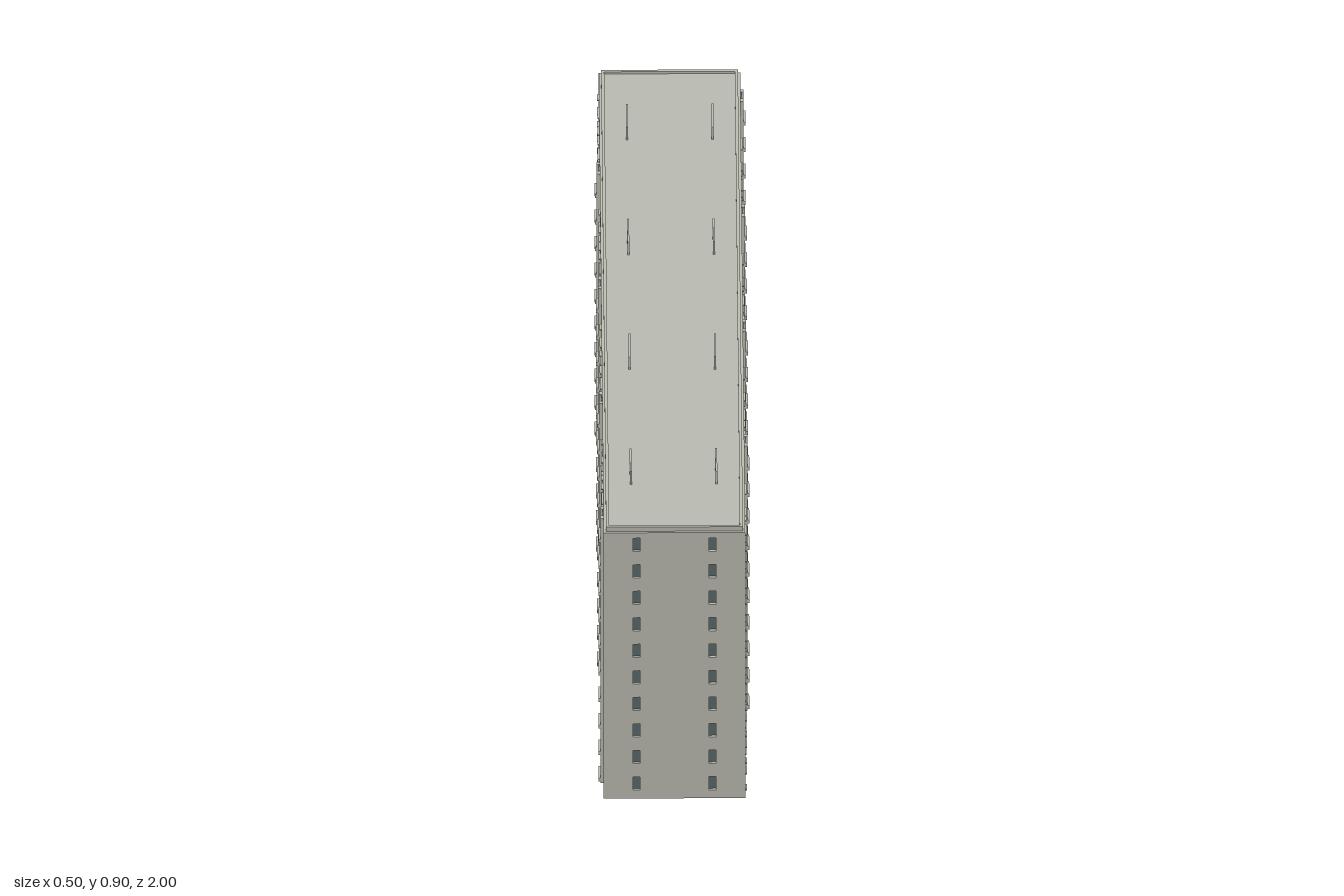
import * as THREE from 'three';
import { mergeGeometries } from 'three/addons/utils/BufferGeometryUtils.js';

const mat = (name, color) => {
  const m = new THREE.MeshStandardMaterial({ color });
  m.name = name;
  return m;
};

const HALF_W = 0.182, HALF_L = 0.99, WALL_H = 0.852, PANEL = 0.01;
const FLOORS = 10, FLOOR_H = 0.085, SECTION = 0.4945;

export function createModel() {
  const concrete = mat('concrete', 0xbdbeb3);
  const roofing = mat('roofing', 0xb9bab1);
  const glass = mat('blue glass', 0x718c96);
  const darkGlass = mat('dark glass', 0x5c696b);
  const frame = mat('window frame', 0x56666b);

  const box = (w, h, d, x, y, z) => new THREE.BoxGeometry(w, h, d).translate(x, y, z);
  const mesh = (parent, name, geometry, material) => {
    const m = new THREE.Mesh(geometry, material);
    m.name = name;
    parent.add(m);
    return m;
  };

  // Wall panel facing +z with window openings cut through; u runs left to right
  function wallPanel(width, windows) {
    const shape = new THREE.Shape();
    const hw = width / 2;
    shape.moveTo(-hw, 0).lineTo(hw, 0).lineTo(hw, WALL_H).lineTo(-hw, WALL_H).closePath();
    for (const { u, y, w, h } of windows) {
      const hole = new THREE.Path();
      hole.moveTo(u - w / 2, y - h / 2).lineTo(u - w / 2, y + h / 2)
        .lineTo(u + w / 2, y + h / 2).lineTo(u + w / 2, y - h / 2).closePath();
      shape.holes.push(hole);
    }
    return new THREE.ExtrudeGeometry(shape, { depth: PANEL, bevelEnabled: false });
  }

  const panes = (windows) => mergeGeometries(windows.map(({ u, y, w, h }) =>
    new THREE.PlaneGeometry(w, h).translate(u, y, 0.003)));

  // Long side: four sections of windows, each ending in a glazed stair strip
  function longSide() {
    const g = new THREE.Group();
    const windows = [], sills = [], mullions = [], strips = [], slabs = [], stairGlass = [];
    for (let s = 0; s < 4; s++) {
      const start = -0.972 + s * SECTION;
      const paired = s % 2 === 1;
      // offset along the section, width, height
      const columns = [[0, 0.02, 0.048], [0.06, 0.016, 0.038], [0.083, 0.022, 0.038]];
      if (paired) {
        columns.push([0.143, 0.012, 0.038], [0.161, 0.015, 0.038],
          [0.238, 0.021, 0.038], [0.263, 0.021, 0.038]);
      } else {
        columns.push([0.152, 0.033, 0.038], [0.25, 0.045, 0.038]);
      }
      const su = start + 0.385;
      for (let f = 0; f < FLOORS; f++) {
        const y = 0.047 + f * FLOOR_H;
        for (const [du, w, h] of columns) {
          const u = start + du;
          windows.push({ u, y, w, h });
          sills.push(box(w + 0.004, 0.003, 0.007, u, y - h / 2 - 0.0015, PANEL + 0.001));
          if (w > 0.03) mullions.push(box(0.002, h, 0.003, u + w * 0.15, y, 0.0045));
        }
        slabs.push(box(0.05, 0.011, 0.013, su, 0.01 + f * FLOOR_H, PANEL + 0.0065));
        stairGlass.push(box(0.024, 0.062, 0.003, su, 0.052 + f * FLOOR_H, PANEL + 0.0015));
      }
      for (const side of [-1, 1]) {
        strips.push(box(0.012, WALL_H - 0.004, 0.008, su + side * 0.02, (WALL_H - 0.004) / 2, PANEL + 0.004));
      }
    }
    mesh(g, 'longWall', wallPanel(HALF_L * 2, windows), concrete);
    mesh(g, 'windowPanes', panes(windows), glass);
    mesh(g, 'windowMullions', mergeGeometries(mullions), frame);
    mesh(g, 'windowSills', mergeGeometries(sills), concrete);
    mesh(g, 'stairPilasters', mergeGeometries(strips), concrete);
    mesh(g, 'stairSlabs', mergeGeometries(slabs), concrete);
    mesh(g, 'stairGlass', mergeGeometries(stairGlass), glass);
    return g;
  }

  // End wall: two columns of narrow windows
  function endWall() {
    const g = new THREE.Group();
    const windows = [];
    for (let f = 0; f < FLOORS; f++) {
      for (const u of [-0.098, 0.098]) windows.push({ u, y: 0.048 + f * FLOOR_H, w: 0.018, h: 0.043 });
    }
    mesh(g, 'endWallPanel', wallPanel((HALF_W - PANEL) * 2, windows), concrete);
    mesh(g, 'endWindowPanes', panes(windows), darkGlass);
    return g;
  }

  const building = new THREE.Group();
  building.name = 'apartmentBlock';
  const coreW = HALF_W - PANEL, coreL = HALF_L - PANEL;
  mesh(building, 'core', box(coreW * 2, WALL_H, coreL * 2, 0, WALL_H / 2, 0), concrete);

  for (const side of [1, -1]) {
    const facade = longSide();
    facade.name = side > 0 ? 'leftFacade' : 'rightFacade';
    facade.rotation.y = side * Math.PI / 2;
    facade.position.x = side * coreW;
    building.add(facade);

    const end = endWall();
    end.name = side > 0 ? 'frontEnd' : 'backEnd';
    end.rotation.y = side > 0 ? 0 : Math.PI;
    end.position.z = side * coreL;
    building.add(end);
  }

  // Roof deck inside a low parapet
  mesh(building, 'roofDeck', box(coreW * 2, 0.007, coreL * 2, 0, WALL_H + 0.0035, 0), roofing);
  const rim = [];
  for (const s of [-1, 1]) {
    rim.push(box(0.008, 0.014, coreL * 2 + 0.008, s * coreW, WALL_H + 0.007, 0));
    rim.push(box(coreW * 2 - 0.008, 0.014, 0.008, 0, WALL_H + 0.007, s * coreL));
  }
  mesh(building, 'parapet', mergeGeometries(rim), concrete);

  // Thin vent walls on the roof, two per section
  const vents = [];
  for (let s = 0; s < 4; s++) {
    for (const x of [-0.111, 0.109]) {
      vents.push(box(0.005, 0.045, 0.1, x, 0.8775, -0.742 + s * SECTION));
    }
  }
  mesh(building, 'roofVents', mergeGeometries(vents), concrete);

  // The block stands slightly turned
  building.rotation.y = 0.064;
  const model = new THREE.Group();
  model.name = 'model';
  model.add(building);
  return model;
}
